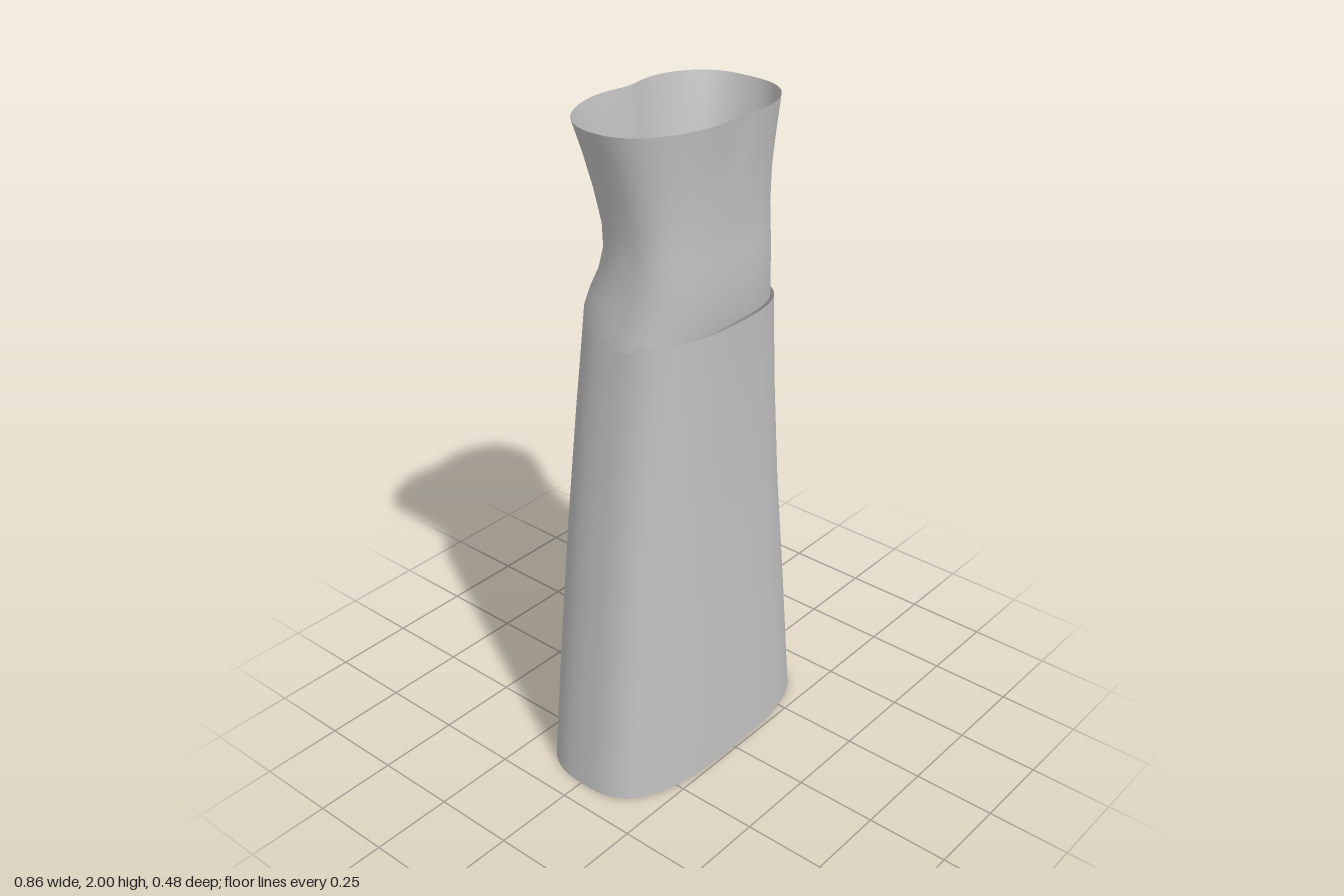
import * as THREE from 'three';

const SEGMENTS = 96;

// Closed loop of points round the body: a superellipse with its own front and back depth.
// w half width, f / b front and back z, c z of the widest line, nf / nb squareness,
// tilt lifts the front and lowers the back, groove / dip dent the centre back / front.
function section({ y, w, f, b, c, nf, nb, tilt = 0, groove = 0, spread = 0.03, dip = 0 }) {
  const points = [];
  for (let j = 0; j < SEGMENTS; j++) {
    const t = (j / SEGMENTS) * Math.PI * 2;
    const cos = Math.cos(t), sin = Math.sin(t);
    const front = sin >= 0;
    const n = front ? nf : nb;
    const r = Math.pow(Math.abs(cos) ** n + Math.abs(sin) ** n, -1 / n);
    const x = w * r * cos;
    let z = c + (front ? f - c : c - b) * r * sin;
    if (front) z -= dip * Math.exp(-((x / 0.06) ** 2)) * sin;
    else z -= groove * Math.exp(-((x / spread) ** 2)) * sin;
    points.push(x, y + tilt * sin, z);
  }
  return points;
}

// Skin a stack of sections, bottom to top, leaving both ends open.
function loft(name, rings, material) {
  const index = [];
  for (let i = 0; i < rings.length - 1; i++) {
    for (let j = 0; j < SEGMENTS; j++) {
      const k = (j + 1) % SEGMENTS;
      const a = i * SEGMENTS + j, b = i * SEGMENTS + k;
      const c = a + SEGMENTS, d = b + SEGMENTS;
      index.push(a, c, b, b, c, d);
    }
  }
  const geometry = new THREE.BufferGeometry();
  geometry.setAttribute('position', new THREE.Float32BufferAttribute(rings.flatMap(section), 3));
  geometry.setIndex(index);
  geometry.computeVertexNormals();
  const mesh = new THREE.Mesh(geometry, material);
  mesh.name = name;
  return mesh;
}

export function createModel() {
  const fabric = new THREE.MeshStandardMaterial({ color: 0xc0c0c0, side: THREE.DoubleSide });
  fabric.name = 'grey fabric';

  // Long flared skirt
  const skirt = loft('skirt', [
    { y: 0.0, w: 0.428, f: 0.242, b: -0.242, c: 0.02, nf: 2.8, nb: 2.8 },
    { y: 0.4, w: 0.388, f: 0.23, b: -0.232, c: 0.02, nf: 2.8, nb: 2.8 },
    { y: 0.8, w: 0.346, f: 0.217, b: -0.222, c: 0.02, nf: 2.75, nb: 2.7 },
    { y: 1.15, w: 0.31, f: 0.215, b: -0.207, c: 0.025, nf: 2.7, nb: 2.6 },
    { y: 1.415, w: 0.283, f: 0.224, b: -0.194, c: 0.03, nf: 2.6, nb: 2.5, tilt: 0.015 },
  ], fabric);

  // Fitted bodice: hips, narrow waist and a flared, slightly wavy top edge
  const bodice = loft('bodice', [
    { y: 1.395, w: 0.286, f: 0.2, b: -0.2, c: 0.04, nf: 2.6, nb: 2.5, tilt: 0.025, groove: 0.022 },
    { y: 1.45, w: 0.278, f: 0.205, b: -0.195, c: 0.04, nf: 2.6, nb: 2.5, groove: 0.034 },
    { y: 1.5, w: 0.267, f: 0.208, b: -0.178, c: 0.045, nf: 2.7, nb: 2.5, groove: 0.03 },
    { y: 1.56, w: 0.259, f: 0.21, b: -0.15, c: 0.055, nf: 2.7, nb: 2.4, groove: 0.015 },
    { y: 1.63, w: 0.252, f: 0.207, b: -0.132, c: 0.065, nf: 2.7, nb: 2.4, groove: 0.005 },
    { y: 1.7, w: 0.25, f: 0.205, b: -0.137, c: 0.06, nf: 2.7, nb: 2.4, groove: 0.006, spread: 0.05 },
    { y: 1.8, w: 0.264, f: 0.21, b: -0.15, c: 0.045, nf: 2.5, nb: 2.5, groove: 0.012, spread: 0.07 },
    { y: 1.9, w: 0.287, f: 0.218, b: -0.163, c: 0.03, nf: 2.4, nb: 2.6, groove: 0.018, spread: 0.08, dip: 0.006 },
    { y: 1.995, w: 0.312, f: 0.235, b: -0.178, c: 0.01, nf: 2.2, nb: 2.6, groove: 0.022, spread: 0.08, dip: 0.012 },
  ], fabric);

  // Wavy rim: the sides sit a little lower than front and back
  const pos = bodice.geometry.attributes.position;
  for (let i = pos.count - SEGMENTS; i < pos.count; i++) {
    const t = ((i % SEGMENTS) / SEGMENTS) * Math.PI * 2;
    pos.setY(i, 1.993 - 0.007 * Math.cos(2 * t));
  }
  bodice.geometry.computeVertexNormals();

  const dress = new THREE.Group();
  dress.name = 'dress';
  dress.add(skirt, bodice);
  return dress;
}
